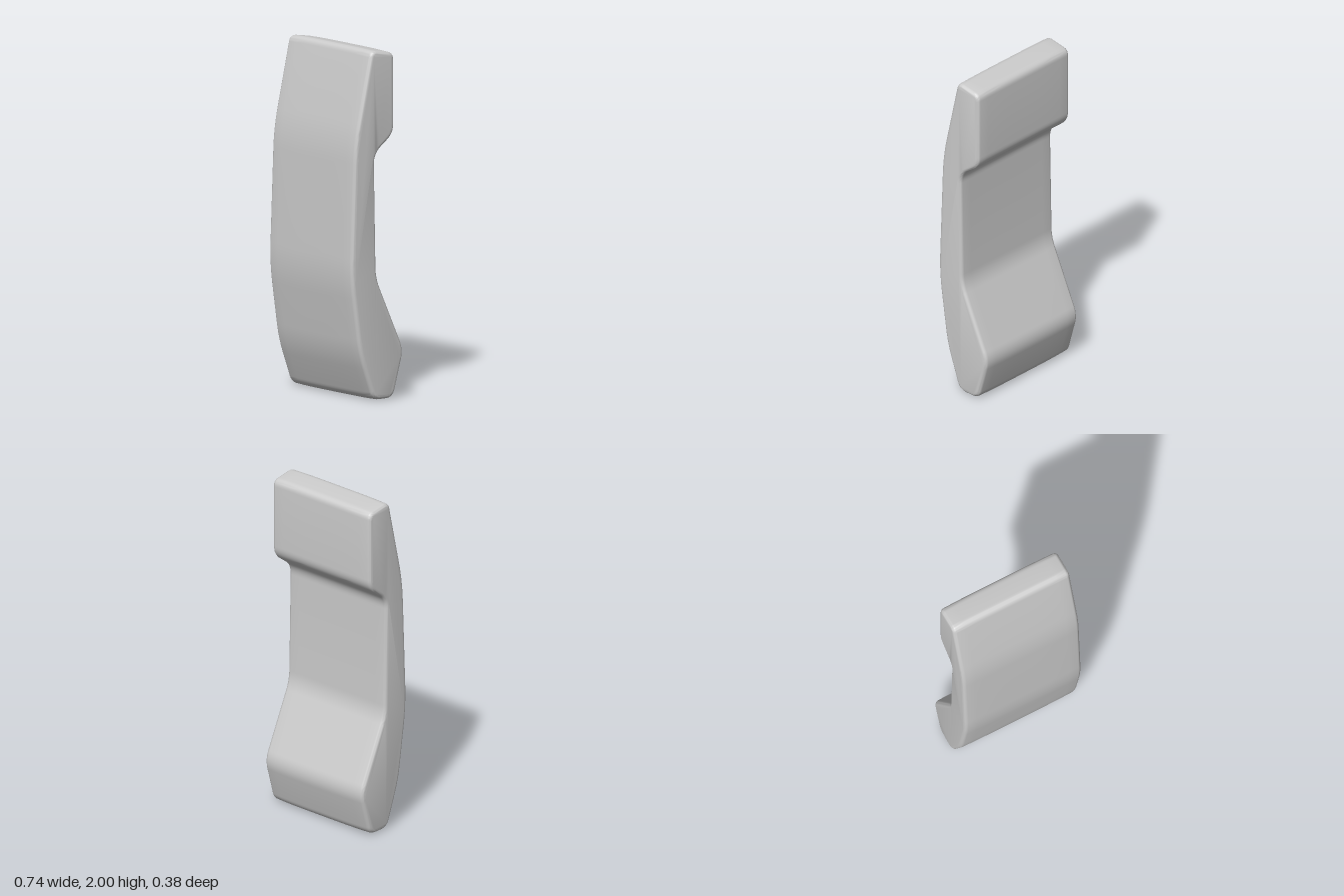
import * as THREE from 'three';
import { toCreasedNormals } from 'three/addons/utils/BufferGeometryUtils.js';

// Side profile corners: [z, y, rounding distance]
const PROFILE = [
  [0.042, 2.004, 0.04], [0.163, 1.48, 0.12], [0.193, 0.71, 0.12], [0.128, 0.27, 0.09],
  [0.028, 0.0, 0.05], [-0.122, 0.0, 0.05], [-0.199, 0.27, 0.06], [0.004, 0.7, 0.06],
  [0.018, 1.41, 0.06], [-0.126, 1.515, 0.055], [-0.126, 1.978, 0.04],
];

// Closed shape whose corners are replaced by smooth curves
function roundedShape(corners) {
  const shape = new THREE.Shape();
  const n = corners.length;
  corners.forEach(([x, y, d], i) => {
    const p = new THREE.Vector2(x, y);
    const toward = ([qx, qy]) => new THREE.Vector2(qx, qy).sub(p).setLength(d).add(p);
    const a = toward(corners[(i + n - 1) % n]);
    const b = toward(corners[(i + 1) % n]);
    if (i === 0) shape.moveTo(a.x, a.y);
    else shape.lineTo(a.x, a.y);
    shape.quadraticCurveTo(x, y, b.x, b.y);
  });
  shape.closePath();
  return shape;
}

export function createModel() {
  const group = new THREE.Group();
  group.name = 'handset';

  const halfWidth = 0.372, bevel = 0.022;
  const depth = 2 * (halfWidth - bevel);
  const geometry = new THREE.ExtrudeGeometry(roundedShape(PROFILE), {
    depth, steps: 12, curveSegments: 8,
    bevelEnabled: true, bevelThickness: bevel, bevelSize: bevel, bevelOffset: -bevel, bevelSegments: 5,
  });
  geometry.translate(0, 0, -depth / 2);
  geometry.rotateY(-Math.PI / 2);

  // Slight crowning: the faces pull in a little towards both sides
  const pos = geometry.attributes.position;
  for (let i = 0; i < pos.count; i++) {
    const t = Math.pow(Math.abs(pos.getX(i)) / halfWidth, 4);
    pos.setZ(i, pos.getZ(i) * (1 - 0.025 * t));
    pos.setY(i, 1 + (pos.getY(i) - 1) * (1 - 0.005 * t));
  }

  const body = new THREE.Mesh(
    toCreasedNormals(geometry, 0.9),
    new THREE.MeshStandardMaterial({ color: 0xcccccc }),
  );
  body.name = 'handsetBody';
  group.add(body);
  return group;
}
